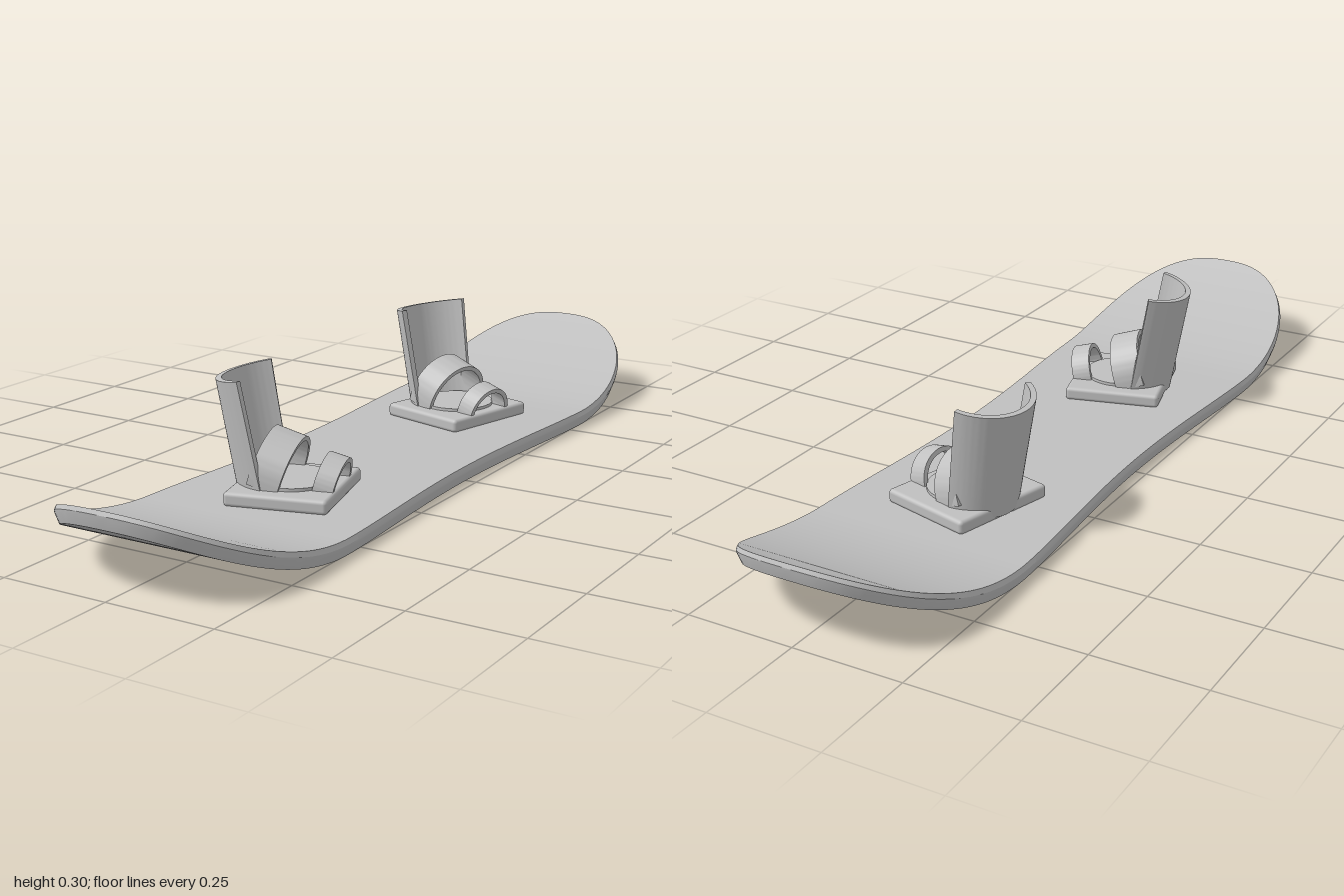
import * as THREE from 'three';
import { toCreasedNormals } from 'three/addons/utils/BufferGeometryUtils.js';
import { RoundedBoxGeometry } from 'three/addons/geometries/RoundedBoxGeometry.js';

const grey = new THREE.MeshStandardMaterial({ color: 0xc0c0c0 });
grey.name = 'grey';

function part(name, geometry, parent) {
  const mesh = new THREE.Mesh(geometry, grey);
  mesh.name = name;
  parent.add(mesh);
  return mesh;
}

// Half width of the deck: narrow waist, wide shoulders, rounded tips
function halfWidth(z) {
  const a = Math.abs(z), t = a / 0.6;
  if (t < 1) return 0.231 + 0.03 * t * t * (2 - t * t);
  return 0.261 * Math.pow(Math.max(0, 1 - Math.pow((a - 0.6) / 0.4, 2.5)), 0.4);
}

// Upward curve of the nose and tail
const lift = z => 0.143 * Math.pow(Math.max(0, (Math.abs(z) - 0.55) / 0.45), 1.9);

function boardGeometry() {
  const N = 120;
  const layers = [[0.008, 0], [0.001, 0.02], [0, 0.026], [0.004, 0.037]]; // inset, height
  const pos = [], idx = [];
  // Each layer is a closed outline: right side forward, left side back
  for (const [inset, h] of layers) {
    for (let i = 0; i < 2 * N; i++) {
      const s = -Math.cos(Math.PI * i / N) * (i === 0 || i === N ? 1 : 0.99999);
      const z = s * (1 - inset), side = i <= N ? 1 : -1;
      pos.push(side * halfWidth(s) * (1 - inset / 0.261), lift(z) + h, z);
    }
  }
  const M = 2 * N;
  for (let l = 0; l < layers.length - 1; l++) {
    for (let i = 0; i < M; i++) {
      const a = l * M + i, b = l * M + (i + 1) % M;
      idx.push(a, a + M, b, b, a + M, b + M);
    }
  }
  // Base and top sheet
  const top = (layers.length - 1) * M;
  for (let i = 0; i < N; i++) {
    const r0 = i, r1 = i + 1, l0 = (M - i) % M, l1 = M - i - 1;
    idx.push(r0, r1, l0, l0, r1, l1);
    idx.push(top + r0, top + l0, top + r1, top + l0, top + l1, top + r1);
  }
  const g = new THREE.BufferGeometry();
  g.setAttribute('position', new THREE.Float32BufferAttribute(pos, 3));
  g.setIndex(idx);
  return toCreasedNormals(g, 0.5);
}

// Curved shell open toward the toes, leaning back and narrowing downward
function highbackGeometry() {
  const R = 0.115, half = 1.28, height = 0.25;
  const s = new THREE.Shape();
  s.absarc(0, 0, R, Math.PI - half, Math.PI + half, false);
  s.absarc(0, 0, R - 0.013, Math.PI + half, Math.PI - half, true);
  s.closePath();
  const g = new THREE.ExtrudeGeometry(s, { depth: height, bevelEnabled: false, curveSegments: 20 });
  g.rotateX(-Math.PI / 2);
  const p = g.attributes.position;
  for (let i = 0; i < p.count; i++) p.setZ(i, p.getZ(i) * (0.87 + 0.13 * p.getY(i) / height));
  g.rotateZ(0.175);
  g.translate(-0.008, 0.063, 0);
  return toCreasedNormals(g, 0.4);
}

// Arched band across the foot
function strapGeometry(radius, leg, width, thick) {
  const s = new THREE.Shape(), r = radius - thick;
  s.moveTo(radius, 0);
  s.lineTo(radius, leg);
  s.absarc(0, leg, radius, 0, Math.PI, false);
  s.lineTo(-radius, 0);
  s.lineTo(-r, 0);
  s.lineTo(-r, leg);
  s.absarc(0, leg, r, Math.PI, 0, true);
  s.lineTo(r, 0);
  s.closePath();
  const g = new THREE.ExtrudeGeometry(s, { depth: width, bevelEnabled: false, curveSegments: 20 });
  g.translate(0, 0, -width / 2);
  g.rotateY(Math.PI / 2);
  return toCreasedNormals(g, 0.4);
}

function binding(name) {
  const g = new THREE.Group();
  g.name = name;
  part('basePlate', new RoundedBoxGeometry(0.23, 0.032, 0.255, 3, 0.009), g).position.y = 0.051;
  part('mountingDisc', new THREE.CylinderGeometry(0.088, 0.088, 0.012, 40), g).position.y = 0.068;
  part('highback', highbackGeometry(), g);
  const ankle = part('ankleStrap', strapGeometry(0.094, 0.015, 0.07, 0.011), g);
  ankle.position.set(-0.04, 0.068, 0);
  ankle.rotation.z = -0.3;
  const toe = part('toeStrap', strapGeometry(0.066, 0.003, 0.045, 0.011), g);
  toe.position.set(0.085, 0.062, 0);
  toe.rotation.z = -0.25;
  return g;
}

export function createModel() {
  const model = new THREE.Group();
  model.name = 'snowboard';
  part('board', boardGeometry(), model);
  // Two bindings, each angled out toward its own tip
  for (const side of [1, -1]) {
    const b = binding(side > 0 ? 'frontBinding' : 'rearBinding');
    b.position.set(0, 0, side * 0.368);
    b.rotation.y = side * Math.PI / 12;
    model.add(b);
  }
  return model;
}
